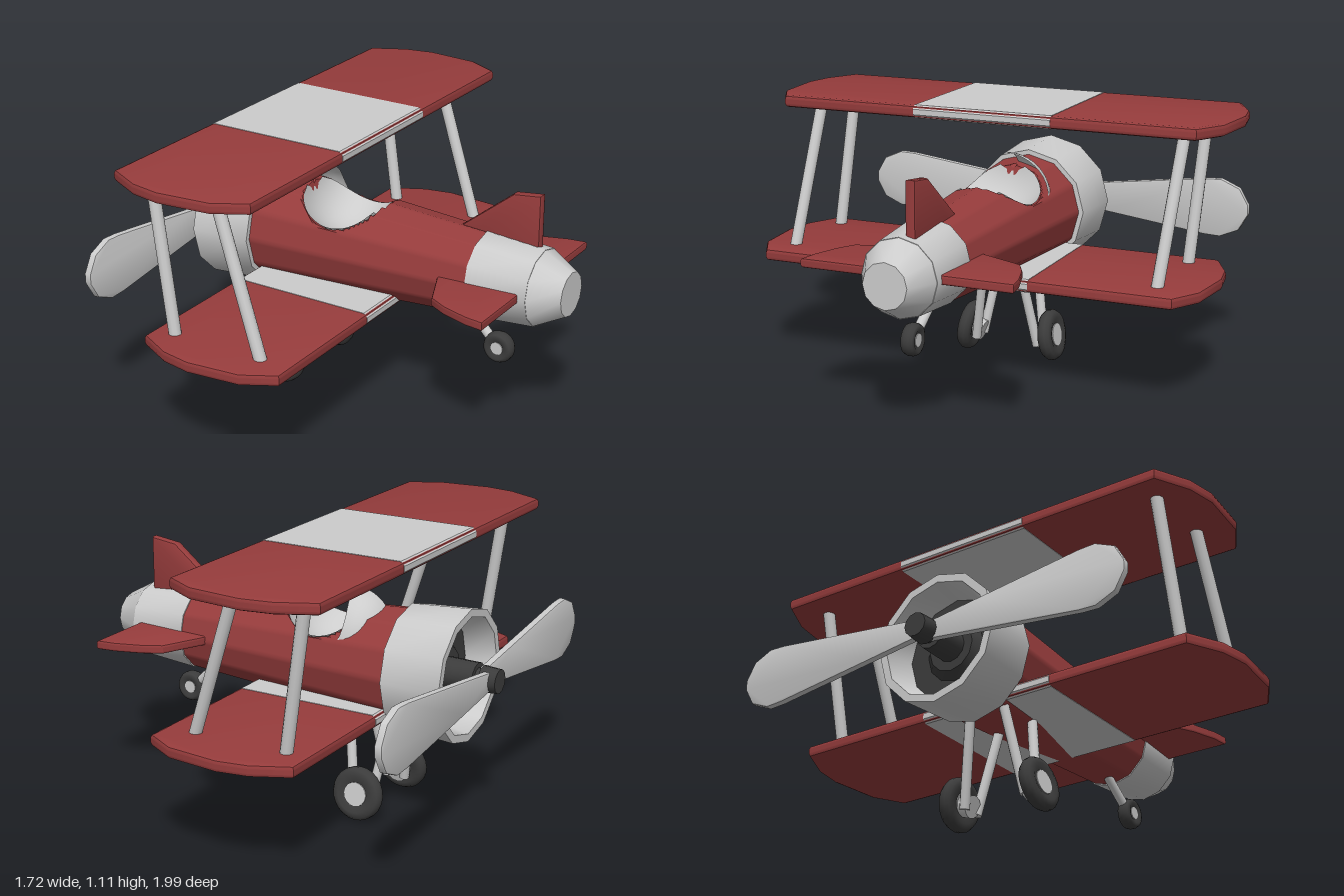
import * as THREE from 'three';
import { toCreasedNormals } from 'three/addons/utils/BufferGeometryUtils.js';
import { ParametricGeometry } from 'three/addons/geometries/ParametricGeometry.js';

const V = (x, y, z) => new THREE.Vector3(x, y, z);
const paint = (color) => new THREE.MeshStandardMaterial({ color, side: THREE.DoubleSide });
const red = paint(0x963c3c), grey = paint(0xcccccc), dark = paint(0x3c3c3c);
const AXIS_Y = 0.617, AXIS_Z = -0.02;

export function createModel() {
  const plane = new THREE.Group();
  plane.name = 'biplane';

  const add = (name, geometry, material, parent = plane) => {
    const mesh = new THREE.Mesh(geometry, material);
    mesh.name = name;
    parent.add(mesh);
    return mesh;
  };
  // Round rod between two points
  const rod = (name, a, b, r, material = grey) => {
    const mesh = add(name, new THREE.CylinderGeometry(r, r, a.distanceTo(b), 12), material);
    mesh.position.copy(a).add(b).multiplyScalar(0.5);
    mesh.quaternion.setFromUnitVectors(V(0, 1, 0), b.clone().sub(a).normalize());
    return mesh;
  };
  // Turned part along the body axis, profile given as [radius, x]
  const turned = (name, profile, material, sides = 12) => {
    const points = profile.map(([r, x]) => new THREE.Vector2(r, x));
    const g = new THREE.LatheGeometry(points, sides).rotateZ(-Math.PI / 2);
    const mesh = add(name, toCreasedNormals(g, 0.55), material);
    mesh.position.set(0, AXIS_Y, AXIS_Z);
    return mesh;
  };
  // Flat plate with softened edges, centred on its thickness
  const plate = (outline, thickness, bevel) => {
    const shape = new THREE.Shape(outline.map(([x, y]) => new THREE.Vector2(x, y)));
    const depth = thickness - 2 * bevel;
    const g = new THREE.ExtrudeGeometry(shape, {
      depth, bevelThickness: bevel, bevelSize: bevel, bevelOffset: -bevel, bevelSegments: 2,
    });
    return toCreasedNormals(g.translate(0, 0, -depth / 2), 0.7);
  };
  const mirrored = (half) => [...half, ...half.map(([x, z]) => [x, -z]).reverse()];

  // Cockpit hollow: a saddle cut with a bowl-shaped floor
  const bodyRadius = (x) => 0.23 - 0.06 * (x + 0.48) / 0.97;
  const cutY = (x) => {
    const d = 0.21 ** 2 - (x + 0.13) ** 2;
    return d > 0 ? 0.937 - Math.sqrt(d) : 9;
  };
  const halfWidth = (x) => Math.sqrt(Math.max(0, bodyRadius(x) ** 2 - (cutY(x) - AXIS_Y) ** 2));
  const floorY = (x, z) => {
    const w = Math.max(halfWidth(x), 0.001);
    return cutY(x) - 0.08 * (w / 0.17) * Math.max(0, 1 - (z / w) ** 2);
  };

  // Fuselage: tapered twelve-sided tube with the cockpit pressed in
  const body = new THREE.CylinderGeometry(0.17, 0.23, 0.97, 96, 64).rotateZ(-Math.PI / 2).translate(0.005, 0, 0);
  const p = body.attributes.position;
  for (let i = 0; i < p.count; i++) {
    const x = p.getX(i), step = Math.PI / 6;
    const a = Math.atan2(p.getZ(i), p.getY(i)) + 2 * Math.PI;
    const k = Math.cos(step / 2) / Math.cos((a % step) - step / 2);
    const y = p.getY(i) * k, z = p.getZ(i) * k;
    p.setXYZ(i, x, y + AXIS_Y > cutY(x) ? floorY(x, z) - AXIS_Y : y, z);
  }
  body.computeVertexNormals();
  add('fuselage', toCreasedNormals(body, 0.55), red).position.set(0, AXIS_Y, AXIS_Z);

  add('cockpitLining', new ParametricGeometry((u, v, target) => {
    const x = -0.31 + 0.335 * u, z = (2 * v - 1) * halfWidth(x) * 0.94;
    target.set(x, floorY(x, z) + 0.008, z + AXIS_Z);
  }, 24, 16), grey);

  // Windscreen: quarter dome with a hollowed rear edge
  const screen = new THREE.SphereGeometry(1, 24, 12, Math.PI, Math.PI, 0, Math.PI / 2).rotateZ(Math.PI / 2);
  const s = screen.attributes.position;
  for (let i = 0; i < s.count; i++) {
    const y = 0.66 + 0.24 * Math.abs(s.getY(i));
    const rim = 1 + s.getX(i);
    const hollow = 0.03 * (1 - ((Math.max(y, 0.7) - 0.8) / 0.1) ** 2);
    // both quarter spans fold onto the upper half
    s.setXYZ(i, -0.24 + 0.178 * s.getX(i) - hollow * rim, y, AXIS_Z + 0.19 * s.getZ(i));
  }
  screen.computeVertexNormals();
  add('windscreen', screen, grey);

  // Engine cowl, tail section and propeller hub
  turned('cowl', [[0.21, -0.6], [0.235, -0.735], [0.267, -0.735], [0.25, -0.48], [0.2, -0.48]], grey);
  turned('engine', [[0, -0.64], [0.1, -0.64], [0.13, -0.61], [0.225, -0.61]].reverse(), dark);
  turned('tailSection', [[0.165, 0.487], [0.175, 0.487], [0.156, 0.74], [0.14, 0.74]], grey);
  turned('tailCone', [[0.154, 0.74], [0.09, 0.857], [0, 0.857]], grey).material.flatShading = false;
  turned('propellerHub', [[0, -0.86], [0.048, -0.86], [0.053, -0.79], [0.04, -0.79], [0.04, -0.77],
    [0.06, -0.77], [0.063, -0.6]], dark);

  // Propeller blades
  const blade = plate(mirrored([[0, 0.035], [0.24, 0.066], [0.68, 0.122], [0.75, 0.125], [0.83, 0.09], [0.87, 0.02]]),
    0.03, 0.006).rotateY(-Math.PI / 2);
  for (const side of [1, -1]) {
    const mesh = add('propellerBlade', blade, grey);
    mesh.position.set(side > 0 ? -0.782 : -0.817, AXIS_Y, AXIS_Z);
    mesh.rotation.x = side > 0 ? 0 : Math.PI;
  }

  // Wings: red plate with a grey centre band
  const tip = [[-0.31, 0.885], [-0.165, 0.957], [-0.04, 0.979], [0.18, 0.957], [0.31, 0.885]];
  const wing = plate(mirrored(tip), 0.05, 0.016).rotateX(Math.PI / 2);
  const c = 0.312, h = 0.027, e = 0.016;
  const band = new THREE.ExtrudeGeometry(new THREE.Shape([[-c, e - h], [e - c, -h], [c - e, -h], [c, e - h],
    [c, h - e], [c - e, h], [e - c, h], [-c, h - e]].map(([x, y]) => new THREE.Vector2(x, y))),
  { depth: 0.59, bevelEnabled: false }).translate(0, 0, -0.295);
  for (const [name, x, y, z] of [['upperWing', -0.29, 1.09, -0.02], ['lowerWing', -0.16, 0.46, 0.016]]) {
    const group = new THREE.Group();
    group.name = name;
    group.position.set(x, y, z);
    add(name + 'Panel', wing, red, group);
    add(name + 'Band', band, grey, group);
    plane.add(group);
  }

  // Tailplane and fin
  const stabiliser = plate(mirrored([[0.365, 0.17], [0.445, 0.35], [0.52, 0.39], [0.63, 0.425], [0.708, 0.435]]),
    0.038, 0.01).rotateX(Math.PI / 2);
  add('tailplane', stabiliser, red).position.set(0, 0.62, -0.025);
  const fin = plate([[0.36, 0.7], [0.708, 0.7], [0.708, 0.98], [0.593, 0.966], [0.36, 0.782]], 0.042, 0.01);
  add('tailFin', fin, red).position.z = -0.05;

  // Wheel: tyre with a slightly recessed hub, axle along z
  const wheel = (name, r, width, hubR) => {
    const group = new THREE.Group();
    group.name = name;
    const w = width / 2;
    const tyre = [[hubR, -w * 0.7], [r * 0.7, -w], [r * 0.9, -w * 0.8], [r, -w * 0.3],
      [r, w * 0.3], [r * 0.9, w * 0.8], [r * 0.7, w], [hubR, w * 0.7]];
    add('tyre', new THREE.LatheGeometry(tyre.map(([a, b]) => new THREE.Vector2(a, b)), 24).rotateX(Math.PI / 2), dark, group);
    add('hub', new THREE.CylinderGeometry(hubR, hubR, width * 0.8, 16).rotateX(Math.PI / 2), grey, group);
    plane.add(group);
    return group;
  };

  for (const side of [1, -1]) {
    // Wing struts
    const top = side * 0.8, bottom = 0.033 + side * 0.8;
    rod('frontStrut', V(-0.477, 1.08, top), V(-0.374, 0.46, bottom), 0.025);
    rod('rearStrut', V(-0.187, 1.08, top), V(0.025, 0.46, bottom), 0.025);
    // Landing gear
    rod('frontGearLeg', V(-0.437, 0.45, side * 0.075), V(-0.376, 0.07, side * 0.14), 0.02);
    rod('rearGearLeg', V(-0.24, 0.45, side * 0.075), V(-0.3, 0.07, side * 0.14), 0.02);
    rod('axle', V(-0.345, 0.088, side * 0.125), V(-0.345, 0.108, side * 0.185), 0.045);
    const main = wheel('mainWheel', 0.107, 0.062, 0.048);
    main.position.set(-0.345, 0.11, side * 0.185 - 0.003);
    main.rotation.x = -side * 0.15;
  }

  // Tail wheel
  rod('tailWheelLeg', V(0.4, 0.485, -0.01), V(0.56, 0.335, 0.01), 0.02);
  wheel('tailWheel', 0.064, 0.06, 0.026).position.set(0.573, 0.332, 0.01);

  return plane;
}
